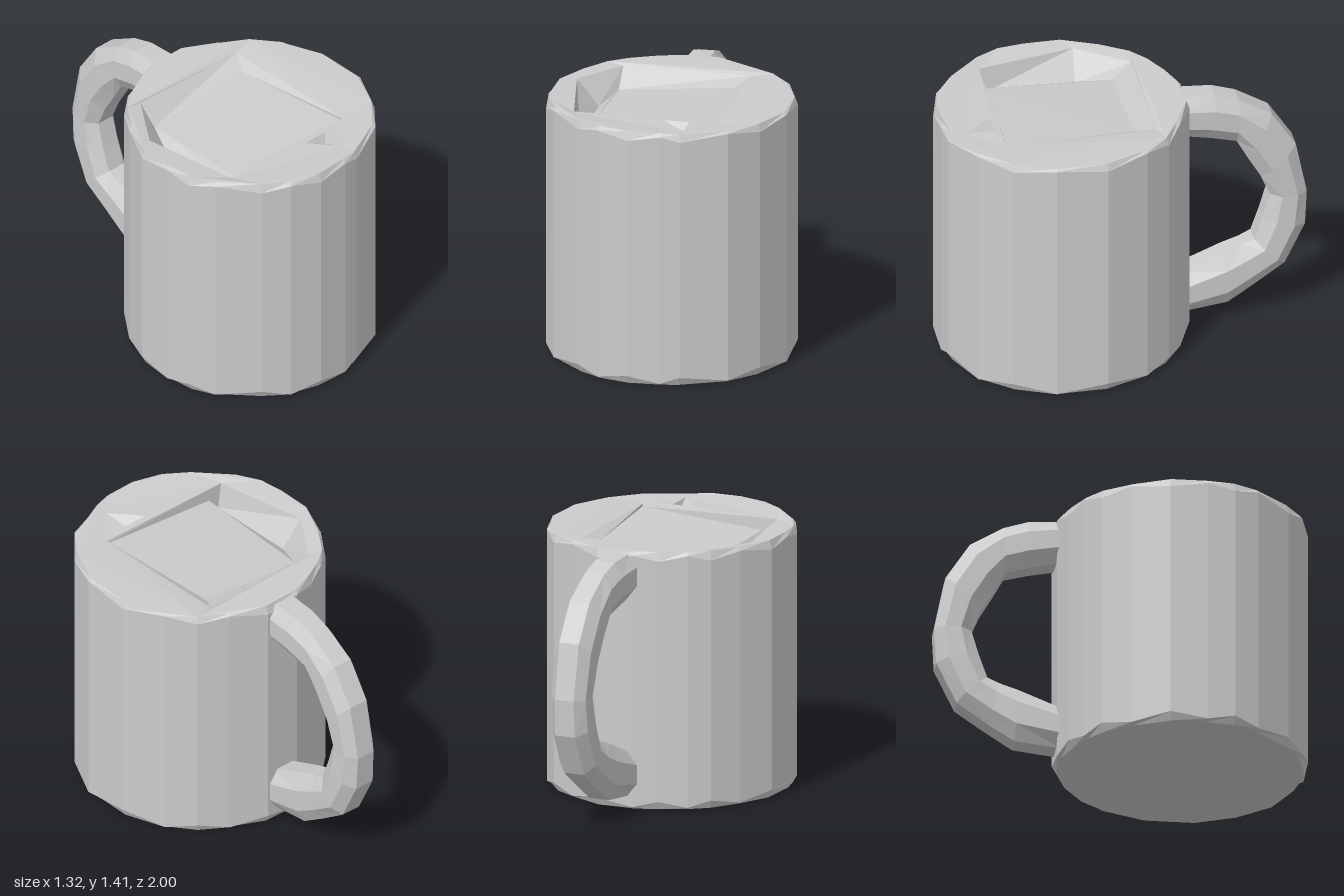
import * as THREE from 'three';

const material = new THREE.MeshStandardMaterial({ color: 0xcccccc, flatShading: true, side: THREE.DoubleSide });

// Mesh from a list of convex polygons, each a loop of [x, y, z]
function polyMesh(name, polys) {
  const pos = [];
  for (const p of polys)
    for (let i = 1; i < p.length - 1; i++) pos.push(...p[0], ...p[i], ...p[i + 1]);
  const geo = new THREE.BufferGeometry();
  geo.setAttribute('position', new THREE.Float32BufferAttribute(pos, 3));
  geo.computeVertexNormals();
  const mesh = new THREE.Mesh(geo, material);
  mesh.name = name;
  return mesh;
}

// Quads between two closed loops of equal length
const bridge = (a, b) => a.map((p, i) => {
  const j = (i + 1) % a.length;
  return [p, a[j], b[j], b[i]];
});

// Cup outline seen from above, as [x, z], anticlockwise
const outline = [
  [-0.27, 0.95], [-0.1, 1], [0.08, 0.995], [0.18, 0.975], [0.42, 0.86], [0.56, 0.7],
  [0.655, 0.48], [0.655, 0.2], [0.56, -0.03], [0.45, -0.17], [0.3, -0.26], [0.11, -0.35],
  [-0.1, -0.345], [-0.23, -0.3], [-0.37, -0.23], [-0.47, -0.15], [-0.57, 0],
  [-0.66, 0.2], [-0.66, 0.4], [-0.64, 0.55], [-0.57, 0.68], [-0.4, 0.86],
];
const CZ = 0.325;
const ring = (scale, height) => outline.map(([x, z], i) =>
  [x * scale, height(i, x), CZ + (z - CZ) * scale]);

function createCup() {
  const cup = new THREE.Group();
  cup.name = 'cup';

  // Faceted wall with uneven worn edges at top and bottom
  const base = ring(0.965, () => 0);
  const low = ring(1, (i) => (i % 2 ? 0.045 : 0.012));
  const high = ring(1, (i) => (i % 2 ? 1.365 : 1.395));
  const top = ring(0.975, (i, x) => (x < 0.15 ? 1.415 : 1.405));
  cup.add(polyMesh('wall', [...bridge(base, low), ...bridge(low, high), ...bridge(high, top)]));
  cup.add(polyMesh('base', [[...base].reverse()]));

  // Rim surface around the recess and the small chip at the front
  const hole = [[-0.46, 1.4, 0.68], [0.34, 1.395, 0.69], [0.32, 1.39, -0.13],
    [-0.37, 1.4, -0.13], [-0.56, 1.405, 0.15]];
  const chip = [[0.04, 1.4, 0.72], [0.18, 1.4, 0.72], [0.18, 1.4, 0.88]];
  const flat = (loop) => loop.map(([x, , z]) => new THREE.Vector2(x, z));
  const points = [...top, ...hole, ...chip];
  const rim = THREE.ShapeUtils.triangulateShape(flat(top), [flat(hole), flat(chip)]).map((t) => {
    const [a, b, c] = t.map((k) => points[k]);
    const up = (b[2] - a[2]) * (c[0] - a[0]) - (b[0] - a[0]) * (c[2] - a[2]);
    return up > 0 ? [a, b, c] : [a, c, b];
  });
  cup.add(polyMesh('rim', rim));
  const pit = [0.16, 1.35, 0.75];
  cup.add(polyMesh('rimChip', chip.map((p, i) => [p, pit, chip[(i + 1) % 3]])));

  // Shallow recess: sloping walls, tilted floor and a deeper pocket on one side
  const bed = [[-0.43, 1.26, 0.67], [0.34, 1.38, 0.685], [0.26, 1.355, -0.02],
    [-0.37, 1.3, -0.02], [-0.44, 1.26, 0.16]];
  const ridgeFront = [-0.37, 1.33, 0.68];
  const ridgeBack = [-0.37, 1.31, 0.15];
  cup.add(polyMesh('recessWalls', bridge(hole, bed)));
  cup.add(polyMesh('recessFloor', [
    [ridgeFront, bed[1], bed[2], bed[3], ridgeBack],
    [bed[0], ridgeFront, ridgeBack, bed[4]],
    [bed[4], ridgeBack, bed[3]],
    [bed[0], bed[1], ridgeFront],
  ]));
  return cup;
}

function createHandle() {
  // Each station: outer [y, z], inner [y, z], half width
  const stations = [
    [1.4, -0.32, 1.16, -0.32, 0.11], [1.39, -0.5, 1.125, -0.49, 0.105],
    [1.35, -0.63, 1.09, -0.62, 0.1], [1.24, -0.81, 0.98, -0.68, 0.105],
    [1.04, -0.94, 0.86, -0.75, 0.105], [0.74, -1, 0.74, -0.8, 0.1],
    [0.54, -0.99, 0.6, -0.76, 0.105], [0.31, -0.88, 0.47, -0.715, 0.105],
    [0.19, -0.71, 0.44, -0.65, 0.1], [0.1, -0.57, 0.405, -0.55, 0.105],
    [0.07, -0.32, 0.31, -0.32, 0.11],
  ];
  // Eight-sided section as [side, position from outer to inner]
  const section = [[-0.55, 0], [0.55, 0], [1, 0.28], [1, 0.7], [0.5, 1], [-0.5, 1], [-1, 0.7], [-1, 0.28]];
  const loops = stations.map(([oy, oz, iy, iz, w]) => section.map(([s, t]) =>
    [s * w - 0.012, oy + (iy - oy) * t, oz + (iz - oz) * t]));
  const polys = [[...loops[0]].reverse(), loops[loops.length - 1]];
  for (let i = 0; i < loops.length - 1; i++)
    // Split each quad so the facets alternate
    bridge(loops[i], loops[i + 1]).forEach(([a, b, c, d], k) => {
      if ((i + k) % 2) polys.push([a, d, b], [b, d, c]);
      else polys.push([a, c, b], [a, d, c]);
    });
  // Loops run so that reversing every polygon turns the faces outward when needed
  const [a, b, c] = polys[2].map((p) => new THREE.Vector3(...p));
  const outward = b.sub(a).cross(c.sub(a)).y > 0;
  return polyMesh('handle', outward ? polys : polys.map((p) => [...p].reverse()));
}

export function createModel() {
  const model = new THREE.Group();
  model.name = 'mug';
  model.add(createCup(), createHandle());
  return model;
}
